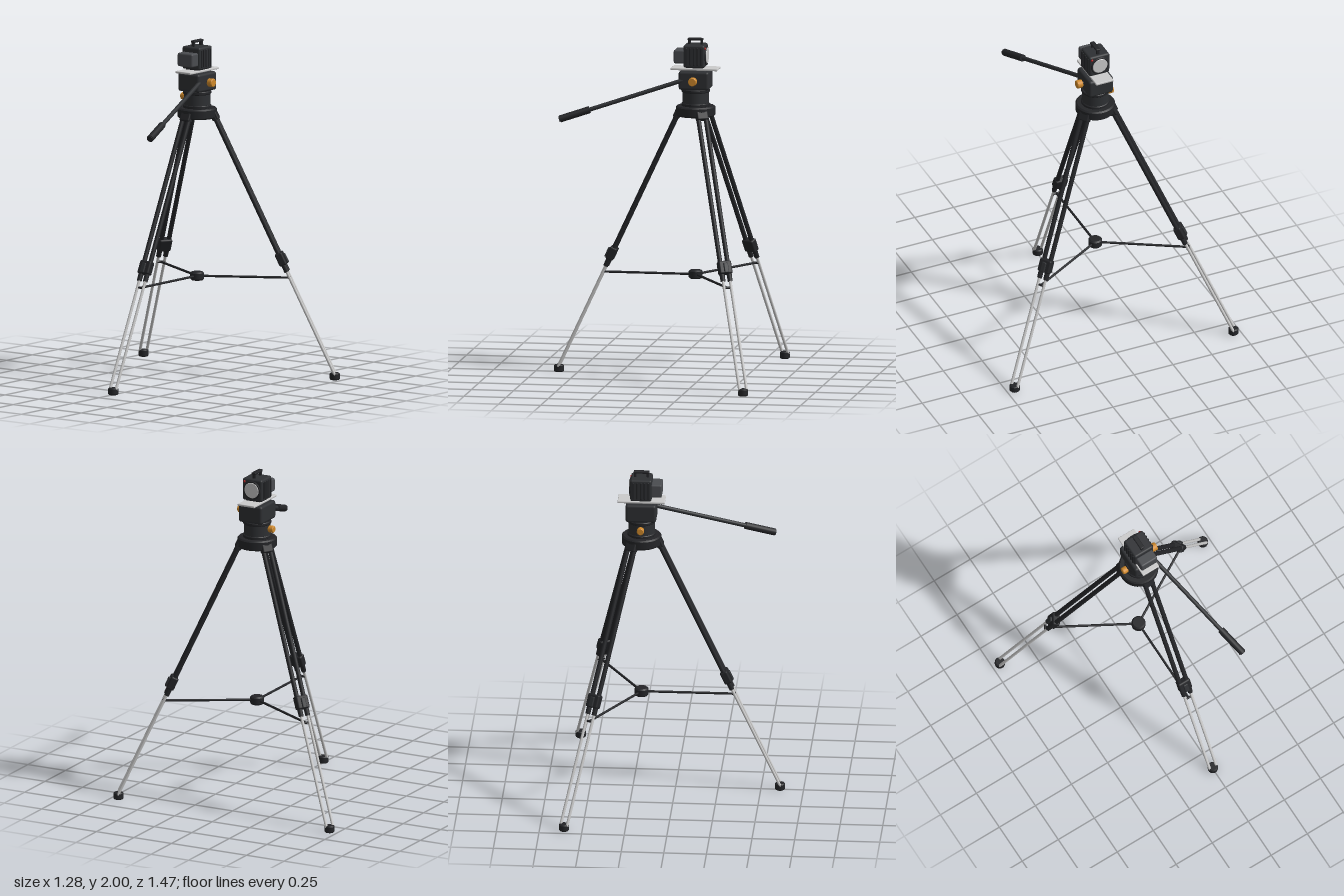
import * as THREE from 'three';
import { RoundedBoxGeometry } from 'three/addons/geometries/RoundedBoxGeometry.js';

const mat = (color) => new THREE.MeshStandardMaterial({ color });
const black = mat(0x242528), dark = mat(0x2e3033), grey = mat(0x4a4c50);
const silver = mat(0xcccccc), orange = mat(0xd08a2c), red = mat(0xb02020);

function add(parent, name, geometry, material, x = 0, y = 0, z = 0) {
  const mesh = new THREE.Mesh(geometry, material);
  mesh.name = name;
  mesh.position.set(x, y, z);
  parent.add(mesh);
  return mesh;
}
const box = (w, h, d, r = 0.008) => new RoundedBoxGeometry(w, h, d, 2, r);
const cyl = (r, h, r2 = r, seg = 24) => new THREE.CylinderGeometry(r, r2, h, seg);

// Turned part with a small chamfer on both rims
function turned(r, h, c = 0.006, seg = 40) {
  const p = [[0, 0], [r - c, 0], [r - c, 0], [r, c], [r, c], [r, h - c], [r, h - c], [r - c, h], [r - c, h], [0, h]];
  return new THREE.LatheGeometry(p.map(([x, y]) => new THREE.Vector2(x, y - h / 2)), seg);
}

// Round rod between two points
function rod(parent, name, a, b, r, material) {
  const d = b.clone().sub(a);
  const m = add(parent, name, cyl(r, d.length(), r, 16), material);
  m.position.copy(a).addScaledVector(d, 0.5);
  m.quaternion.setFromUnitVectors(new THREE.Vector3(0, 1, 0), d.normalize());
  return m;
}

// One leg pointing along +x, with its spreader arm
function makeLeg() {
  const leg = new THREE.Group();
  leg.name = 'leg';
  const footR = 0.815, topR = 0.1, footY = 0.03, topY = 1.56;
  const length = Math.hypot(footR - topR, topY - footY);

  add(leg, 'foot', turned(0.03, 0.042, 0.006, 20), black, footR - 0.003, 0.021, 0);

  const tilt = new THREE.Group();
  tilt.name = 'legTubes';
  tilt.position.set(footR, footY, 0);
  tilt.rotation.z = Math.atan2(footR - topR, topY - footY);
  leg.add(tilt);
  for (const s of [-1, 1]) {
    add(tilt, 'lowerTube', cyl(0.0085, 0.8, 0.0085, 16), silver, 0, 0.4, s * 0.022);
    add(tilt, 'upperTube', cyl(0.0135, length - 0.72, 0.0135, 16), black, 0, (length + 0.72) / 2, s * 0.023);
    add(tilt, 'tubeSleeve', cyl(0.0155, 0.06, 0.0145, 16), black, 0, 0.7, s * 0.022);
  }
  add(tilt, 'legClamp', box(0.046, 0.08, 0.08, 0.01), black, 0, 0.752, 0);
  add(tilt, 'clampLever', box(0.014, 0.06, 0.028, 0.005), dark, 0.026, 0.745, 0);
  add(tilt, 'legHinge', box(0.04, 0.06, 0.07, 0.008), black, 0, length - 0.005, 0);

  rod(leg, 'spreaderArm', new THREE.Vector3(0.02, 0.6, 0), new THREE.Vector3(0.548, 0.6, 0), 0.007, black);
  add(leg, 'spreaderPin', cyl(0.007, 0.05, 0.007, 12), black, 0.546, 0.6, 0).rotation.x = Math.PI / 2;
  return leg;
}

// Ribbed knob with its axis along z
function makeKnob(name, r, depth, y, z) {
  const knob = new THREE.Group();
  knob.name = name;
  knob.position.set(0, y, z);
  add(knob, 'knobBody', turned(r, depth, 0.004, 24), orange).rotation.x = Math.PI / 2;
  add(knob, 'knobStem', cyl(r * 0.5, depth + 0.03), black, 0, 0, -Math.sign(z) * 0.018).rotation.x = Math.PI / 2;
  return knob;
}

function makeHead() {
  const head = new THREE.Group();
  head.name = 'panHead';
  add(head, 'collar', turned(0.116, 0.06, 0.008), black, 0, 1.57, 0);
  add(head, 'neck', turned(0.083, 0.02, 0.004), black, 0, 1.607, 0);
  add(head, 'panBase', turned(0.078, 0.075, 0.005), dark, 0, 1.65, 0);
  add(head, 'neckRing', turned(0.083, 0.02, 0.004), black, 0, 1.69, 0);
  add(head, 'tiltBlock', box(0.18, 0.11, 0.156, 0.015), dark, 0, 1.755, 0);
  add(head, 'plateClamp', box(0.13, 0.014, 0.1, 0.004), grey, 0, 1.811, 0);
  add(head, 'quickPlate', box(0.278, 0.013, 0.112, 0.004), silver, -0.001, 1.82, 0);
  head.add(makeKnob('tiltKnob', 0.025, 0.036, 1.755, 0.104));
  head.add(makeKnob('panKnob', 0.021, 0.034, 1.657, -0.096));

  // Pan handle with its thicker grip
  const a = new THREE.Vector3(-0.04, 1.765, 0.06), b = new THREE.Vector3(-0.765, 1.535, 0.235);
  const at = (t) => a.clone().lerp(b, t);
  rod(head, 'panHandle', a, at(0.9), 0.0125, dark);
  rod(head, 'handleGrip', at(0.765), b, 0.021, black);
  rod(head, 'gripCap', at(0.99), at(1.008), 0.017, black);
  return head;
}

function makeCamera() {
  const cam = new THREE.Group();
  cam.name = 'camera';
  cam.position.y = 1.897;
  add(cam, 'cameraBody', box(0.126, 0.134, 0.13, 0.012), dark);
  add(cam, 'cameraBase', box(0.1, 0.012, 0.09, 0.003), black, 0, -0.068, 0);
  add(cam, 'batteryPack', box(0.065, 0.08, 0.11, 0.01), grey, -0.09, -0.004, 0);
  for (const s of [-1, 1])
    for (let i = 0; i < 5; i++)
      add(cam, 'sideRib', box(0.01, 0.105, 0.01, 0.003), black, -0.044 + i * 0.022, 0, s * 0.065);

  // Round glass on the +x face
  add(cam, 'lensRim', turned(0.056, 0.012, 0.003), black, 0.063, 0, 0).rotation.z = Math.PI / 2;
  add(cam, 'lensGlass', turned(0.047, 0.012, 0.003), silver, 0.066, 0, 0).rotation.z = Math.PI / 2;
  add(cam, 'recordLight', new THREE.SphereGeometry(0.007, 12, 8), red, 0.063, 0.048, 0.049);

  // Carry handle on top
  for (const s of [-1, 1])
    add(cam, 'handlePost', box(0.014, 0.035, 0.02, 0.004), black, s * 0.037, 0.076, 0);
  add(cam, 'handleBar', box(0.092, 0.014, 0.028, 0.005), black, 0, 0.096, 0);
  return cam;
}

export function createModel() {
  const tripod = new THREE.Group();
  tripod.name = 'tripod';
  tripod.position.x = 0.2;

  for (const angle of [Math.PI, Math.PI / 3, -Math.PI / 3]) {
    const leg = makeLeg();
    leg.rotation.y = angle;
    tripod.add(leg);
  }
  add(tripod, 'spreaderHub', turned(0.041, 0.05, 0.008, 24), black, 0, 0.6, 0);
  tripod.add(makeHead(), makeCamera());

  const model = new THREE.Group();
  model.name = 'cameraTripod';
  model.add(tripod);
  return model;
}
